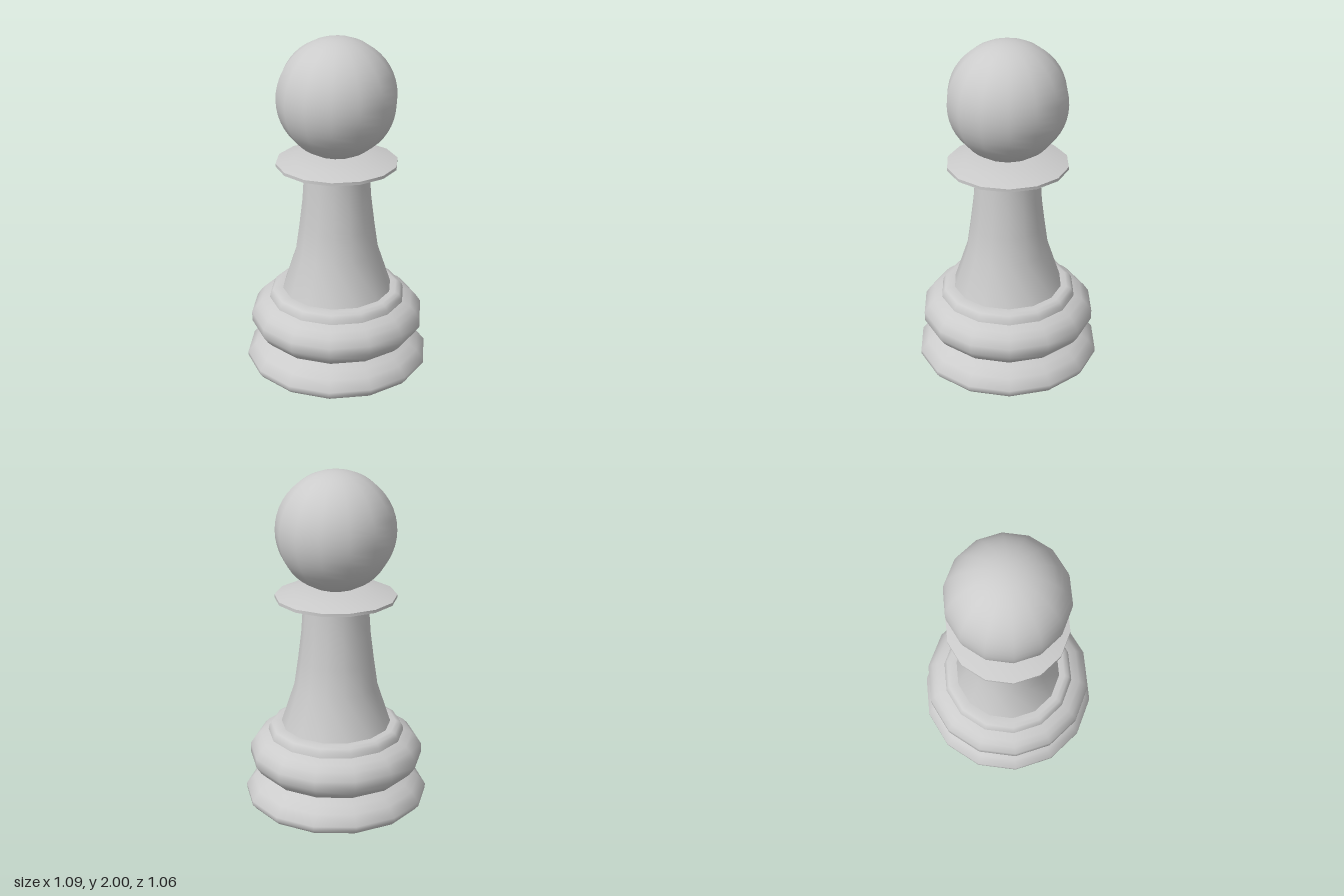
import * as THREE from 'three';
import { toCreasedNormals } from 'three/addons/utils/BufferGeometryUtils.js';

const SIDES = 14;
const material = new THREE.MeshStandardMaterial({ color: 0xcccccc });

// Turns a [radius, height] profile (bottom to top) around y, with a corner on the x axis
function turned(name, profile, crease = 0.9) {
  const points = profile.map(([r, y]) => new THREE.Vector2(r, y));
  const lathe = new THREE.LatheGeometry(points, SIDES, Math.PI / 2);
  const mesh = new THREE.Mesh(toCreasedNormals(lathe, crease), material);
  mesh.name = name;
  return mesh;
}

export function createModel() {
  const pawn = new THREE.Group();
  pawn.name = 'pawn';

  // Foot and rounded ring above it, pinched in between
  pawn.add(turned('base', [
    [0, 0], [0.5, 0], [0.525, 0.015], [0.545, 0.04], [0.545, 0.065], [0.5, 0.12], [0.455, 0.153], [0.4, 0.18],
    [0.455, 0.205], [0.485, 0.235], [0.515, 0.28], [0.515, 0.335], [0.485, 0.38], [0.455, 0.41], [0.405, 0.43],
  ], 1.2));

  // Small step under the stem
  pawn.add(turned('step', [
    [0.405, 0.43], [0.4, 0.455], [0.385, 0.478], [0.36, 0.487], [0.32, 0.487],
  ]));

  // Flared stem
  pawn.add(turned('stem', [
    [0.325, 0.487], [0.245, 0.73], [0.222, 0.89], [0.202, 1.05], [0.19, 1.225],
  ]));

  // Thin disc collar
  pawn.add(turned('collar', [
    [0.19, 1.222], [0.27, 1.237], [0.353, 1.262], [0.353, 1.28], [0.25, 1.308], [0.13, 1.323], [0, 1.323],
  ]));

  // Round head
  const head = [];
  const rings = 24;
  for (let i = 0; i <= rings; i++) {
    const a = (i / rings) * Math.PI;
    head.push([0.345 * Math.sin(a), 1.655 - 0.345 * Math.cos(a)]);
  }
  pawn.add(turned('head', head));

  return pawn;
}
